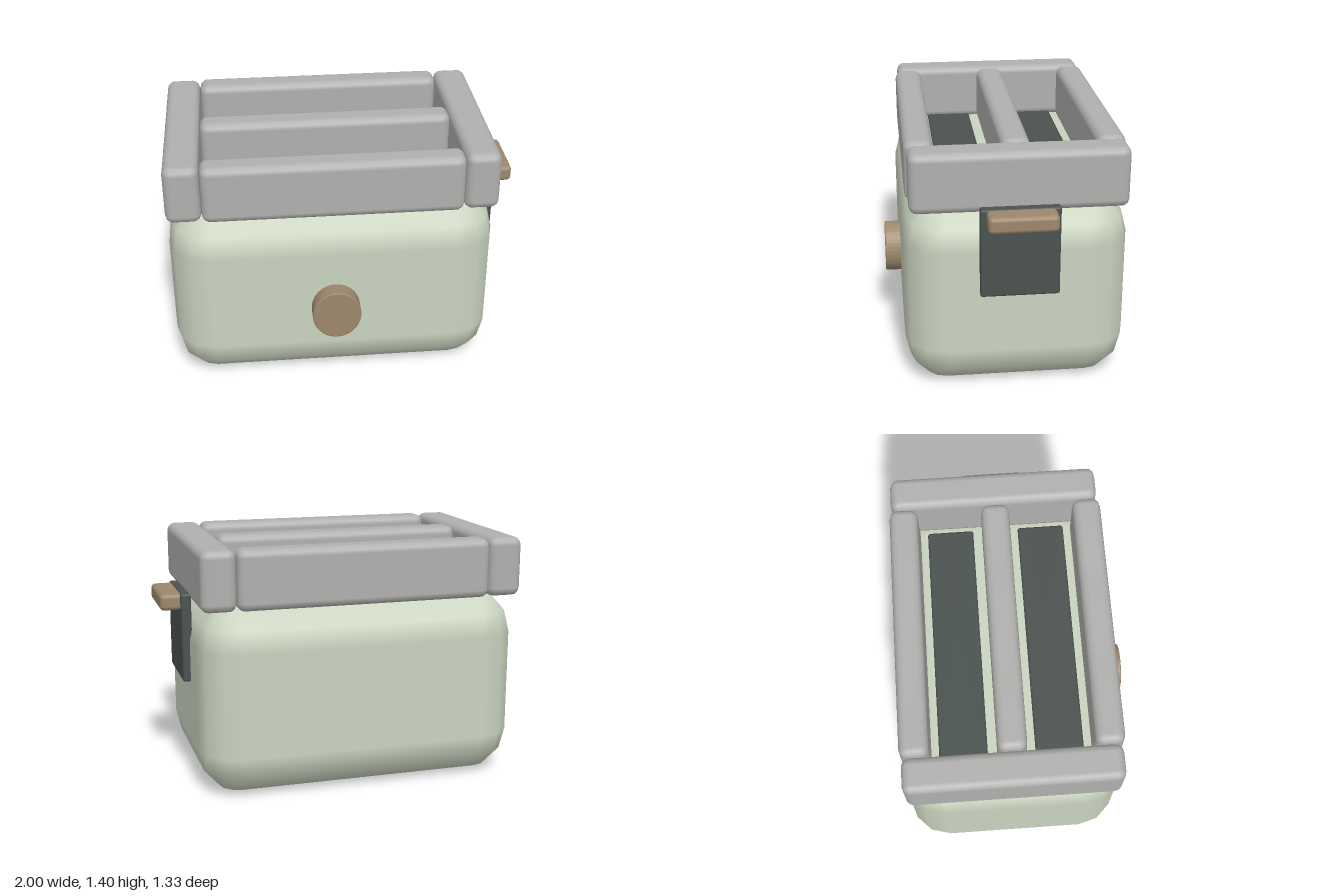
import * as THREE from 'three';

// Smooth rounded box built from stacked rounded-rectangle rings between two corners.
// rh is the horizontal corner radius, rv the vertical one.
function roundedBox(min, max, rh, rv = rh, steps = 3) {
  const pos = [], nor = [], idx = [];
  const n = 4 * (steps + 1);
  const cx = (min[0] + max[0]) / 2, cz = (min[2] + max[2]) / 2;
  const hx = (max[0] - min[0]) / 2 - rh, hz = (max[2] - min[2]) / 2 - rh;
  const rings = 2 * (steps + 1);
  for (let j = 0; j < rings; j++) {
    const upper = j > steps;
    const phi = ((upper ? j - steps - 1 : j - steps) / steps) * Math.PI / 2;
    const c = Math.cos(phi), s = Math.sin(phi);
    const y = (upper ? max[1] - rv : min[1] + rv) + rv * s;
    for (let q = 0; q < 4; q++) {
      const sx = q === 0 || q === 3 ? 1 : -1, sz = q < 2 ? 1 : -1;
      for (let i = 0; i <= steps; i++) {
        const a = (q + i / steps) * Math.PI / 2;
        pos.push(cx + sx * hx + rh * c * Math.cos(a), y, cz + sz * hz + rh * c * Math.sin(a));
        nor.push(c * Math.cos(a), s, c * Math.sin(a));
      }
    }
  }
  for (let j = 0; j < rings - 1; j++) {
    for (let i = 0; i < n; i++) {
      const a = j * n + i, b = j * n + (i + 1) % n;
      idx.push(a, a + n, b, b, a + n, b + n);
    }
  }
  // flat bottom and top
  const bottom = rings * n, top = bottom + 1, last = (rings - 1) * n;
  pos.push(cx, min[1], cz, cx, max[1], cz);
  nor.push(0, -1, 0, 0, 1, 0);
  for (let i = 0; i < n; i++) {
    const k = (i + 1) % n;
    idx.push(bottom, i, k, top, last + k, last + i);
  }
  const g = new THREE.BufferGeometry();
  g.setAttribute('position', new THREE.Float32BufferAttribute(pos, 3));
  g.setAttribute('normal', new THREE.Float32BufferAttribute(nor, 3));
  g.setIndex(idx);
  return g;
}

export function createModel() {
  const model = new THREE.Group();
  model.name = 'toaster';
  const mat = (color) => new THREE.MeshStandardMaterial({ color });
  const sage = mat(0xcad4bf), metal = mat(0xb0b0ae), dark = mat(0x4a5250), wood = mat(0x9c876c);
  const add = (name, geometry, material) => {
    const mesh = new THREE.Mesh(geometry, material);
    mesh.name = name;
    model.add(mesh);
    return mesh;
  };
  const midZ = -0.047;

  // Body
  add('body', roundedBox([-1, 0, -0.667], [0.845, 1.09, 0.573], 0.228, 0.25), sage);

  // Two bread slots set in the top
  for (const [name, side] of [['backSlot', -1], ['frontSlot', 1]]) {
    const z = midZ + side * 0.265;
    add(name, roundedBox([-0.785, 1.03, z - 0.135], [0.625, 1.1, z + 0.135], 0.015), dark);
  }

  // Three long rails around the slots
  for (const [name, side] of [['backRail', -1], ['middleRail', 0], ['frontRail', 1]]) {
    const z = midZ + side * 0.52;
    add(name, roundedBox([-0.8, 1.065, z - 0.08], [0.643, 1.4, z + 0.08], 0.045), metal);
  }

  // End rails
  for (const [name, x] of [['rightEndRail', -0.9], ['leftEndRail', 0.742]]) {
    add(name, roundedBox([x - 0.098, 1.065, midZ - 0.59], [x + 0.098, 1.4, midZ + 0.585], 0.045), metal);
  }

  // Lever plate and handle on the left side
  add('leverPlate', roundedBox([0.83, 0.6, -0.26], [0.888, 1.105, 0.17], 0.012), dark);
  add('leverHandle', roundedBox([0.87, 1.01, -0.235], [1, 1.103, 0.138], 0.024), wood);

  // Slightly oval dial on the front, with a small bevelled rim
  const outline = new THREE.Shape().absellipse(0, 0, 0.13, 0.144, 0, Math.PI * 2);
  const dial = add('dial', new THREE.ExtrudeGeometry(outline, {
    depth: 0.11, bevelSize: 0.008, bevelThickness: 0.008, bevelSegments: 2, curveSegments: 20,
  }), wood);
  dial.position.set(-0.077, 0.492, 0.547);

  return model;
}
